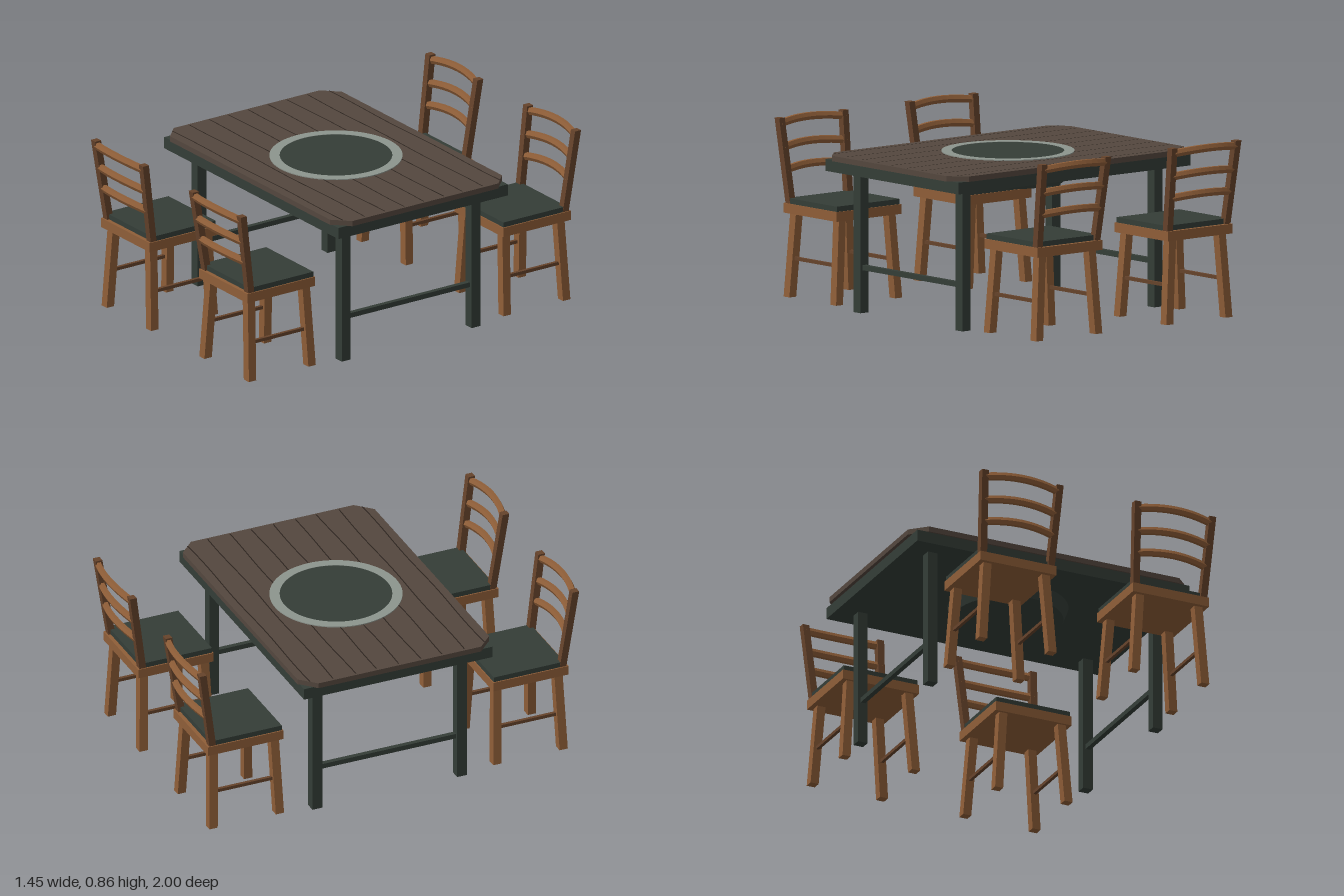
import * as THREE from 'three';

const mat = (name, color) => new THREE.MeshStandardMaterial({ name, color, flatShading: true });

export function createModel() {
  const plankWood = mat('plank wood', 0x54473e);
  const gapDark = mat('plank gap', 0x2b231e);
  const metal = mat('dark green metal', 0x343d37);
  const fabric = mat('cushion fabric', 0x343d37);
  const ringGrey = mat('ring grey', 0x8d958e);
  const lightWood = mat('chair wood', 0x8f5e38);
  const darkWood = mat('dark chair wood', 0x66432b);

  const add = (parent, name, geo, material, x = 0, y = 0, z = 0) => {
    const m = new THREE.Mesh(geo, material);
    m.name = name;
    m.position.set(x, y, z);
    parent.add(m);
    return m;
  };
  const box = (parent, name, material, w, h, d, x, y, z) =>
    add(parent, name, new THREE.BoxGeometry(w, h, d), material, x, y, z);

  // Square post leaning from point a (bottom) to point b (top), ends kept level
  const post = (parent, name, material, size, a, b) => {
    const g = new THREE.BoxGeometry(size, 1, size);
    const p = g.attributes.position;
    for (let i = 0; i < p.count; i++) {
      const t = p.getY(i) + 0.5;
      p.setXYZ(i,
        p.getX(i) + a[0] + (b[0] - a[0]) * t,
        a[1] + (b[1] - a[1]) * t,
        p.getZ(i) + a[2] + (b[2] - a[2]) * t);
    }
    g.computeVertexNormals();
    return add(parent, name, g, material);
  };

  // Six-sided back slat, bowed backwards and slightly upwards
  const slatGeometry = (halfWidth) => {
    const g = new THREE.CylinderGeometry(0.02, 0.02, halfWidth * 2, 6, 10);
    g.rotateZ(Math.PI / 2);
    g.scale(1, 1, 0.85);
    const p = g.attributes.position;
    for (let i = 0; i < p.count; i++) {
      const t = p.getX(i) / halfWidth;
      const bow = 1 - t * t;
      p.setY(i, p.getY(i) + 0.014 * bow);
      p.setZ(i, p.getZ(i) + 0.03 * bow);
    }
    g.computeVertexNormals();
    return g;
  };

  const makeTable = () => {
    const table = new THREE.Group();
    table.name = 'table';

    // Clipped-corner plank top
    const X = 0.727, Z = 0.493, c = 0.075;
    const outline = new THREE.Shape([
      [-X, -Z + c], [-X + c, -Z], [X - c, -Z], [X, -Z + c],
      [X, Z - c], [X - c, Z], [-X + c, Z], [-X, Z - c],
    ].map(([x, z]) => new THREE.Vector2(x, z)));
    const top = new THREE.ExtrudeGeometry(outline, { depth: 0.026, bevelEnabled: false });
    top.rotateX(-Math.PI / 2);
    add(table, 'plankTop', top, plankWood, 0, 0.724, 0);

    // Wavy dark gaps between planks
    for (let k = -4; k <= 4; k++) {
      const half = Math.abs(k) === 4 ? 0.695 : 0.715;
      const g = new THREE.PlaneGeometry(half * 2, 0.006, 40, 1);
      g.rotateX(-Math.PI / 2);
      const p = g.attributes.position;
      for (let i = 0; i < p.count; i++) {
        const x = p.getX(i);
        p.setZ(i, p.getZ(i) + 0.003 * Math.sin(x * 9 + k * 2.3));
      }
      add(table, 'plankGap', g, gapDark, 0, 0.7512, k * 0.112);
    }

    // Under-frame, legs and side stretchers
    box(table, 'frame', metal, 1.42, 0.056, 0.97, 0, 0.697, 0);
    for (const sx of [-1, 1]) {
      for (const sz of [-1, 1]) box(table, 'tableLeg', metal, 0.05, 0.67, 0.05, sx * 0.587, 0.335, sz * 0.372);
      box(table, 'tableStretcher', metal, 0.024, 0.024, 0.7, sx * 0.587, 0.215, 0);
    }

    // Central basin with its rim and cover
    add(table, 'basin', new THREE.CylinderGeometry(0.285, 0.26, 0.064, 48), metal, 0, 0.64, 0);
    add(table, 'basinCover', new THREE.CylinderGeometry(0.27, 0.27, 0.006, 64), metal, 0, 0.75, 0);
    const rim = new THREE.Shape().absarc(0, 0, 0.312, 0, Math.PI * 2);
    rim.holes.push(new THREE.Path().absarc(0, 0, 0.264, 0, Math.PI * 2, true));
    const rimGeo = new THREE.ExtrudeGeometry(rim, { depth: 0.006, bevelEnabled: false, curveSegments: 48 });
    rimGeo.rotateX(-Math.PI / 2);
    add(table, 'basinRim', rimGeo, ringGrey, 0, 0.7485, 0);
    return table;
  };

  // Chair with its back towards +z
  const makeChair = () => {
    const chair = new THREE.Group();
    chair.name = 'chair';
    box(chair, 'seat', lightWood, 0.396, 0.046, 0.387, 0, 0.432, 0.733);
    box(chair, 'cushion', fabric, 0.384, 0.026, 0.362, 0, 0.467, 0.726);
    for (const s of [-1, 1]) {
      post(chair, 'frontLeg', lightWood, 0.042, [s * 0.181, 0.012, 0.559], [s * 0.152, 0.412, 0.573]);
      post(chair, 'backLeg', lightWood, 0.042, [s * 0.181, 0.012, 0.9], [s * 0.152, 0.412, 0.886]);
      box(chair, 'legStretcher', darkWood, 0.016, 0.016, 0.31, s * 0.168, 0.195, 0.73);
      post(chair, 'backPost', darkWood, 0.034, [s * 0.176, 0.45, 0.9], [s * 0.195, 0.855, 0.958]);
    }
    // Three curved slats following the lean of the posts
    for (const [y, z, w] of [[0.61, 0.922, 0.187], [0.715, 0.937, 0.192], [0.827, 0.953, 0.197]]) {
      add(chair, 'backSlat', slatGeometry(w), lightWood, 0, y, z);
    }
    return chair;
  };

  const model = new THREE.Group();
  model.name = 'diningSet';
  model.add(makeTable());
  for (const turn of [0, Math.PI]) {
    const side = new THREE.Group();
    side.name = turn ? 'backChairs' : 'frontChairs';
    for (const sx of [-1, 1]) {
      const chair = makeChair();
      chair.position.x = sx * 0.398;
      side.add(chair);
    }
    side.rotation.y = turn;
    model.add(side);
  }
  return model;
}
